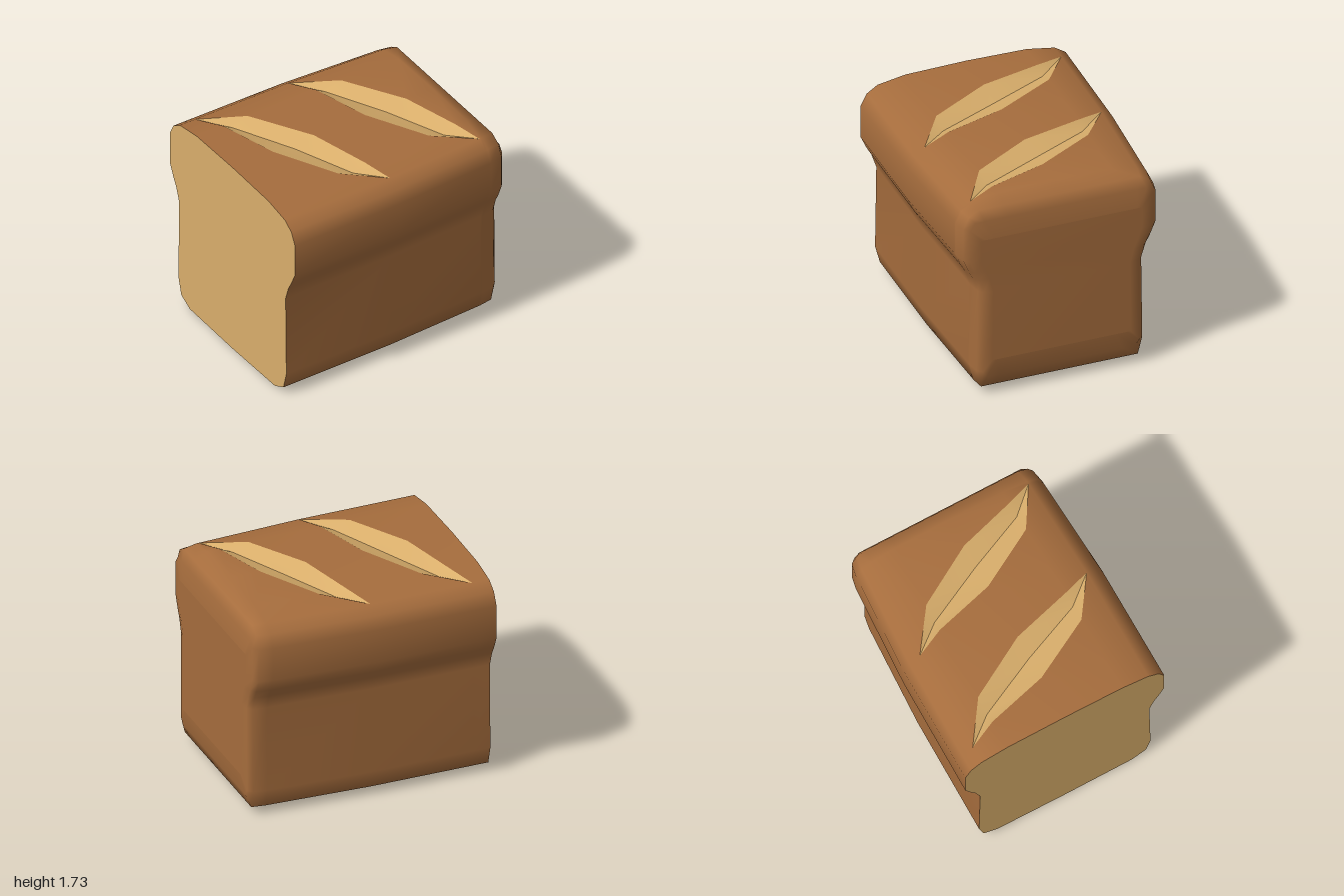
import * as THREE from 'three';
import { mergeVertices } from 'three/addons/utils/BufferGeometryUtils.js';

// Half of the loaf's cross-section as [z, y], from bottom centre to top centre
const HALF = [[0, 0], [0.59, 0.01], [0.71, 0.07], [0.75, 0.22], [0.74, 0.94], [0.78, 1.06], [0.82, 1.13],
  [0.87, 1.24], [0.87, 1.52], [0.82, 1.62], [0.73, 1.68], [0.5, 1.72], [0, 1.73]];
const LOOP = [...HALF, ...HALF.slice(1, -1).reverse().map(([z, y]) => [-z, y])];
const N = LOOP.length;

// Slash outline: x on the five top rows, from front tip to rear tip
const FIRST_ROW = 10;
const SLASH = {
  left: [-0.03, -0.36, -0.63, -0.76, -0.86],
  middle: [-0.03, -0.22, -0.43, -0.67, -0.86],
  right: [-0.03, -0.11, -0.25, -0.53, -0.86],
};
const SLASH_OFFSETS = [0, 0.85];
const DEPTH = 0.055;

// Gentle taper of the loaf towards its rounded end
function taper(x) {
  return x < 0 ? 1 - 0.007 * (x + 1) : 0.993 - 0.069 * x;
}

function bodyPoint(x, j, drop = 0) {
  const [z, y] = LOOP[j];
  return [x, y - drop, z * taper(x)];
}

function straightRing(x) {
  return LOOP.map((_, j) => bodyPoint(x, j));
}

// Ring following one edge of a slash across the top
function slashRing(edge, offset) {
  return LOOP.map((_, j) => {
    const k = THREE.MathUtils.clamp(j - FIRST_ROW, 0, 4);
    return bodyPoint(edge[k] + offset, j);
  });
}

// Ring of the rounded end, flattened at bottom and top
function endRing(x, width, low, high) {
  return LOOP.map(([z, y]) => [x, THREE.MathUtils.clamp(y, low, high), z * width]);
}

function addQuad(out, a, b, c, d) {
  out.push(...a, ...b, ...c, ...a, ...c, ...d);
}

function smoothGeometry(positions) {
  const g = new THREE.BufferGeometry();
  g.setAttribute('position', new THREE.Float32BufferAttribute(positions, 3));
  const merged = mergeVertices(g, 1e-4);
  merged.computeVertexNormals();
  return merged;
}

function crustGeometry() {
  const out = [];
  const shoulder = straightRing(0.84);
  const bevel = endRing(0.95, 0.91, 0.07, 1.67);
  const rim = endRing(0.985, 0.86, 0.17, 1.58);
  const face = endRing(1, 0.76, 0.32, 1.42);
  const [a, b] = SLASH_OFFSETS;
  // Spans skip the slashes, which leaves their openings in the top
  const spans = [
    [straightRing(-1), slashRing(SLASH.left, a)],
    [slashRing(SLASH.right, a), slashRing(SLASH.left, b)],
    [slashRing(SLASH.right, b), shoulder],
    [shoulder, bevel], [bevel, rim], [rim, face],
  ];
  for (const [p, q] of spans) {
    for (let j = 0; j < N; j++) {
      const k = (j + 1) % N;
      addQuad(out, p[j], q[j], q[k], p[k]);
    }
  }
  // Rounded end closed by a ladder between both sides
  for (let j = 0; j < HALF.length - 1; j++) {
    addQuad(out, face[j], face[(N - j) % N], face[N - j - 1], face[j + 1]);
  }
  return smoothGeometry(out);
}

// One sloping wall of a slash, between two of its edge lines
function slashWall(from, to, fromDrop, toDrop, offset) {
  const out = [];
  const point = (edge, k, drop) =>
    bodyPoint(edge[k] + offset, FIRST_ROW + k, k % 4 === 0 ? 0 : drop);
  for (let k = 0; k < 4; k++) {
    addQuad(out, point(from, k, fromDrop), point(to, k, toDrop),
      point(to, k + 1, toDrop), point(from, k + 1, fromDrop));
  }
  return smoothGeometry(out);
}

export function createModel() {
  const crust = new THREE.MeshStandardMaterial({ color: 0xa66d3d });
  const crumb = new THREE.MeshStandardMaterial({ color: 0xd9ae6b });
  const model = new THREE.Group();
  model.name = 'breadLoaf';

  const add = (parent, name, geometry, material) => {
    const mesh = new THREE.Mesh(geometry, material);
    mesh.name = name;
    parent.add(mesh);
  };

  add(model, 'crust', crustGeometry(), crust);

  // Flat cut end
  const outline = new THREE.Shape(LOOP.map(([z, y]) => new THREE.Vector2(z, y)));
  const cut = new THREE.ShapeGeometry(outline);
  cut.rotateY(-Math.PI / 2).translate(-1, 0, 0);
  add(model, 'cutFace', cut, crumb);

  // Two scored slashes sunk into the top
  SLASH_OFFSETS.forEach((offset, i) => {
    const slash = new THREE.Group();
    slash.name = `slash${i + 1}`;
    add(slash, 'leftWall', slashWall(SLASH.left, SLASH.middle, 0, DEPTH, offset), crumb);
    add(slash, 'rightWall', slashWall(SLASH.middle, SLASH.right, DEPTH, 0, offset), crumb);
    model.add(slash);
  });

  return model;
}
